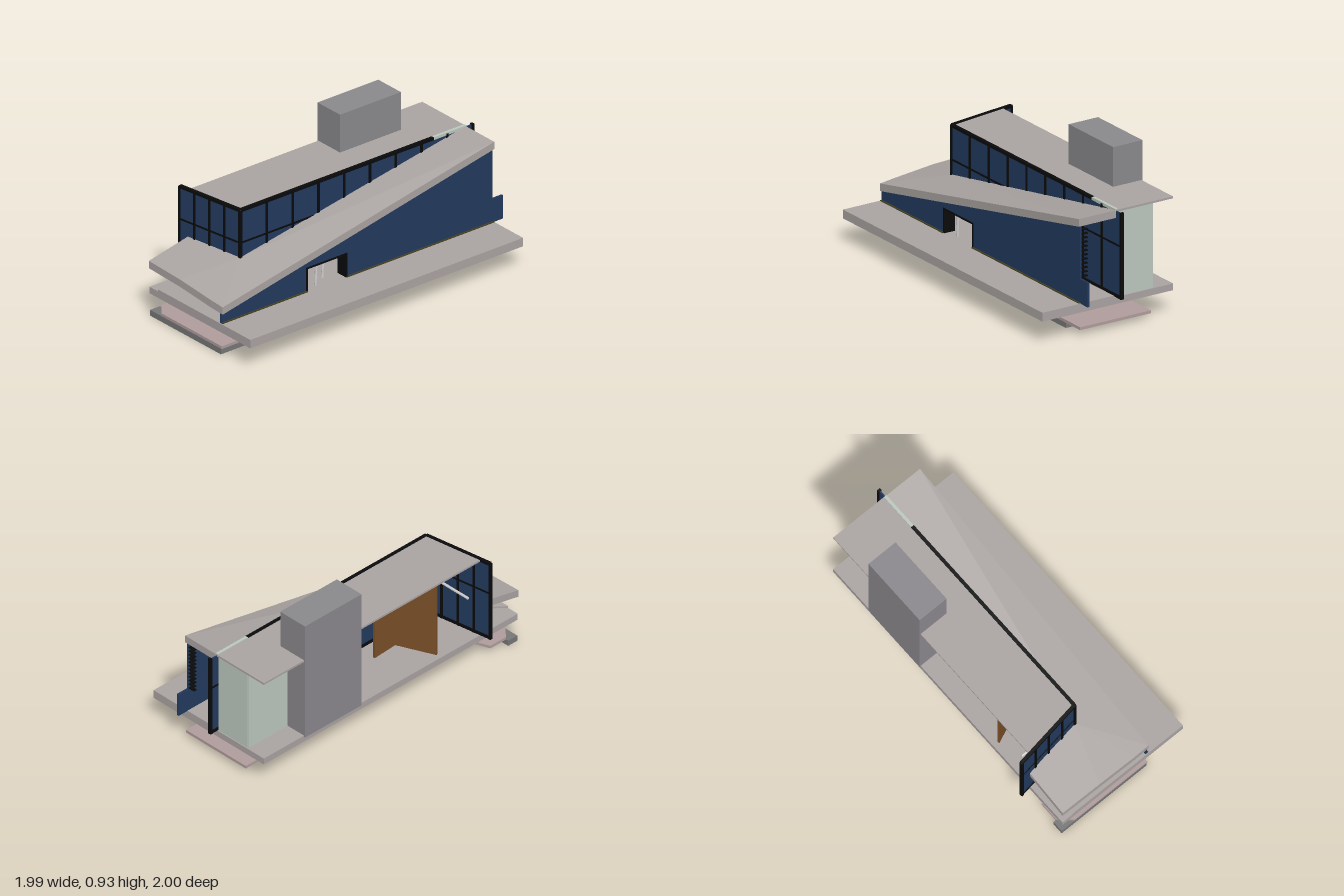
import * as THREE from 'three';

const mat = (color, side = THREE.FrontSide) =>
  new THREE.MeshStandardMaterial({ color, side, flatShading: true });

const concrete = mat(0xaaa4a2), towerGrey = mat(0x8a888c), pinkStone = mat(0xb09c9c);
const darkGrey = mat(0x777777), glass = mat(0x223a5e), frame = mat(0x0a0a0c);
const paleGlass = mat(0xbcc8be), wood = mat(0x7a4f28), olive = mat(0x45401f), steel = mat(0xcccccc);

export function createModel() {
  const model = new THREE.Group();
  // the house stands diagonally on its plot: local x runs along it, local z across it
  const house = new THREE.Group();
  house.name = 'house';
  house.rotation.y = 0.792;
  model.add(house);

  const add = (name, geometry, material, parent = house) => {
    const mesh = new THREE.Mesh(geometry, material);
    mesh.name = name;
    parent.add(mesh);
    return mesh;
  };

  // box given by its min and max corners
  const box = (name, [x0, y0, z0], [x1, y1, z1], material, parent = house) => {
    const mesh = add(name, new THREE.BoxGeometry(x1 - x0, y1 - y0, z1 - z0), material, parent);
    mesh.position.set((x0 + x1) / 2, (y0 + y1) / 2, (z0 + z1) / 2);
    return mesh;
  };

  // horizontal plate from a plan outline of [x, z] points
  const plate = (name, outline, y0, y1, material) => {
    const shape = new THREE.Shape(outline.map(([x, z]) => new THREE.Vector2(x, -z)));
    const geometry = new THREE.ExtrudeGeometry(shape, { depth: y1 - y0, bevelEnabled: false });
    geometry.rotateX(-Math.PI / 2).translate(0, y0, 0);
    return add(name, geometry, material);
  };

  // upright panel between two plan points
  const panel = (name, [ax, az], [bx, bz], y0, y1, thick, material) => {
    const mesh = add(name, new THREE.BoxGeometry(Math.hypot(bx - ax, bz - az), y1 - y0, thick), material);
    mesh.position.set((ax + bx) / 2, (y0 + y1) / 2, (az + bz) / 2);
    mesh.rotation.y = -Math.atan2(bz - az, bx - ax);
    return mesh;
  };

  // glazed wall with posts and rails
  const glazedWall = (name, [ax, az], [bx, bz], bays, railEnd = 1) => {
    const wall = new THREE.Group();
    wall.name = name;
    wall.position.set(ax, 0, az);
    wall.rotation.y = -Math.atan2(bz - az, bx - ax);
    house.add(wall);
    const len = Math.hypot(bx - ax, bz - az);
    box('glazing', [0, 0.18, -0.004], [len, 0.685, 0.004], glass, wall);
    for (let i = 0; i <= bays; i++) {
      const x = (len * i) / bays;
      box('post', [x - 0.007, 0.18, -0.01], [x + 0.007, 0.69, 0.01], frame, wall);
    }
    box('middleRail', [0, 0.485, -0.008], [len, 0.495, 0.008], frame, wall);
    box('bottomRail', [0, 0.18, -0.008], [len, 0.2, 0.008], frame, wall);
    box('topRail', [0, 0.68, -0.01], [len * railEnd, 0.697, 0.01], frame, wall);
  };

  // ground plates
  plate('groundBase', [[-0.97, 0.175], [0.82, 0.175], [0.82, -0.28], [-0.9, -0.28],
    [-0.9, -0.437], [-0.97, -0.437]], 0, 0.035, darkGrey);
  plate('groundPaving', [[-0.97, 0.182], [0.97, 0.182], [0.97, -0.29], [-0.73, -0.29],
    [-0.78, -0.42], [-0.9, -0.42], [-0.97, -0.34]], 0.035, 0.052, pinkStone);

  // lower storey screen
  plate('lowerScreen', [[-0.665, 0.1], [-0.12, 0.12], [-0.04, 0.14], [-0.04, 0.12],
    [-0.12, 0.1], [-0.665, 0.08]], 0.05, 0.142, paleGlass);

  // main floor and raised front deck
  box('floorSlab', [-0.975, 0.14, -0.435], [0.973, 0.18, 0.435], concrete);
  plate('frontDeck', [[-0.975, 0.435], [0.973, 0.435], [0.973, -0.04], [-0.62, -0.04],
    [-0.975, -0.36]], 0.18, 0.192, concrete);

  // front wall below the sloping roof, with a doorway cut from its foot
  const front = new THREE.Shape([[-0.97, 0.19], [-0.36, 0.19], [-0.36, 0.335], [-0.08, 0.335],
    [-0.08, 0.19], [1.04, 0.19], [1.04, 0.335], [0.965, 0.335], [0.965, 0.66], [-0.97, 0.265]]
    .map(([x, y]) => new THREE.Vector2(x, y)));
  add('frontWall', new THREE.ExtrudeGeometry(front, { depth: 0.012, bevelEnabled: false }), glass)
    .position.z = 0.168;
  box('wallFoot', [-0.97, 0.19, 0.178], [-0.36, 0.197, 0.19], olive);
  box('wallFoot', [-0.08, 0.19, 0.178], [0.97, 0.197, 0.19], olive);

  // doorway frame and its posts
  box('doorHead', [-0.365, 0.33, 0.162], [-0.075, 0.34, 0.184], frame);
  for (const x of [-0.36, -0.08]) {
    box('doorJamb', [x - 0.005, 0.19, 0.11], [x + 0.005, 0.34, 0.184], frame);
  }
  const post = (name, x, z, y1, r, tilt = 0) => {
    const mesh = add(name, new THREE.CylinderGeometry(r, r, y1 - 0.18, 10), steel);
    mesh.position.set(x, (y1 + 0.18) / 2, z);
    mesh.rotation.z = tilt;
  };
  post('doorPost', -0.27, 0.15, 0.335, 0.008, -0.05);
  post('doorPost', -0.18, 0.1, 0.335, 0.008, -0.05);

  // upper glazed walls
  glazedWall('upperFrontGlazing', [-0.636, -0.061], [1.02, -0.061], 9, 0.83);
  glazedWall('upperEndGlazing', [-0.636, -0.061], [-0.704, -0.5], 4);
  box('paleCoping', [0.74, 0.68, -0.07], [0.97, 0.697, -0.052], paleGlass);

  // flat roof
  plate('flatRoof', [[-0.64, -0.058], [0.972, -0.058], [0.972, -0.435], [-0.697, -0.435]],
    0.68, 0.692, concrete);

  // folded sloping roof: sections of an outer and an inner edge point, swept around the corner
  const sections = [
    [[0.97, 0.69, 0.19], [0.97, 0.69, -0.06]],
    [[-0.97, 0.295, 0.19], [-0.636, 0.4, -0.06]],
    [[-0.975, 0.305, 0.09], [-0.636, 0.4, -0.06]],
    [[-0.978, 0.33, -0.17], [-0.636, 0.4, -0.06]],
    [[-0.978, 0.34, -0.437], [-0.7, 0.4, -0.437]],
  ].map(([o, i]) => [o, i, [i[0], i[1] - 0.045, i[2]], [o[0], o[1] - 0.045, o[2]]]);
  const pos = [];
  const quad = (a, b, c, d) => pos.push(...a, ...b, ...c, ...a, ...c, ...d);
  for (let s = 0; s < sections.length - 1; s++) {
    for (let j = 0; j < 4; j++) {
      const k = (j + 1) % 4;
      quad(sections[s][j], sections[s][k], sections[s + 1][k], sections[s + 1][j]);
    }
  }
  quad(...[0, 3, 2, 1].map((j) => sections[0][j]));
  quad(...sections[sections.length - 1]);
  const roofGeometry = new THREE.BufferGeometry();
  roofGeometry.setAttribute('position', new THREE.Float32BufferAttribute(pos, 3));
  roofGeometry.computeVertexNormals();
  add('slopingRoof', roofGeometry, concrete);

  // louvres at the high end of the front wall
  for (let i = 0; i < 12; i++) {
    const y = 0.34 + i * 0.025;
    box('louvre', [0.945, y, 0.125], [0.965, y + 0.006, 0.168], frame);
  }

  // tower and the pale room beside it
  box('tower', [0.23, 0.17, -0.442], [0.664, 0.925, -0.247], towerGrey);
  panel('paleBackWall', [0.66, -0.3], [0.965, -0.3], 0.18, 0.685, 0.012, paleGlass);
  panel('paleEndWall', [0.96, -0.07], [0.96, -0.3], 0.18, 0.685, 0.012, paleGlass);

  // folded wooden screen and columns in the open room
  panel('woodScreen', [-0.12, -0.18], [-0.29, -0.17], 0.18, 0.68, 0.012, wood);
  panel('woodScreen', [-0.29, -0.17], [-0.39, -0.4], 0.18, 0.68, 0.012, wood);
  post('column', -0.49, -0.1, 0.685, 0.011);
  post('column', -0.57, -0.2, 0.685, 0.011);
  const brace = add('brace', new THREE.CylinderGeometry(0.008, 0.008, 0.24, 8), steel);
  brace.position.set(-0.61, 0.46, -0.3);
  brace.rotation.x = Math.PI / 2;

  return model;
}
